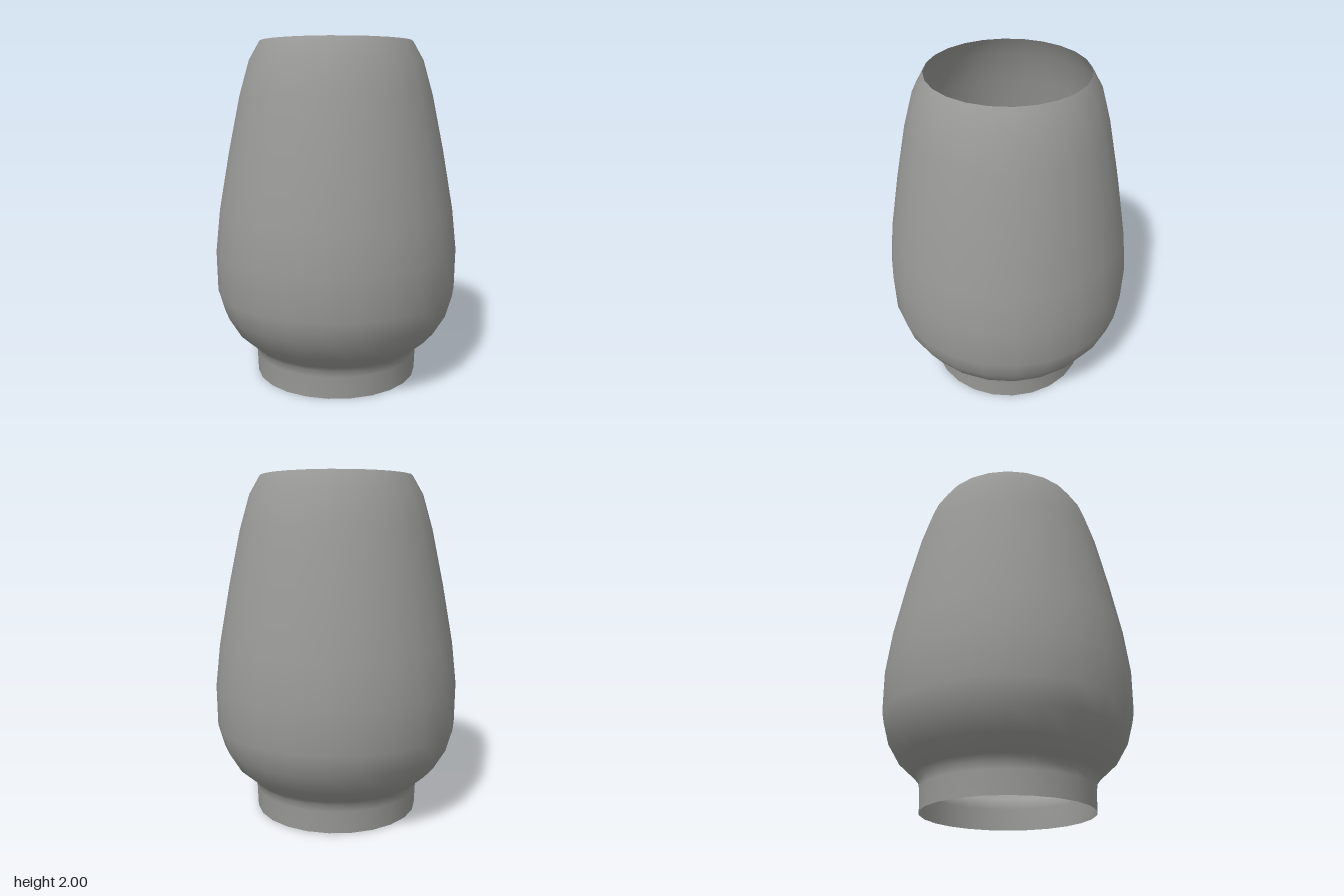
import * as THREE from 'three';

export function createModel() {
  const group = new THREE.Group();
  group.name = 'lampChimney';

  const grey = new THREE.MeshStandardMaterial({ color: 0x999997, side: THREE.DoubleSide });
  grey.name = 'grey glass';

  // Radius and height, from the open collar up over the belly to the open rim
  const profile = [
    [0.49, 0], [0.495, 0.13], [0.5, 0.17], [0.525, 0.2], [0.615, 0.28],
    [0.687, 0.4], [0.724, 0.53], [0.728, 0.77], [0.7, 1.02],
    [0.636, 1.37], [0.568, 1.69], [0.51, 1.89], [0.447, 2],
  ].map(([r, y]) => new THREE.Vector2(r, y));

  // Thin shell, open at both ends
  const shell = new THREE.Mesh(new THREE.LatheGeometry(profile, 24), grey);
  shell.name = 'shell';
  group.add(shell);

  return group;
}
